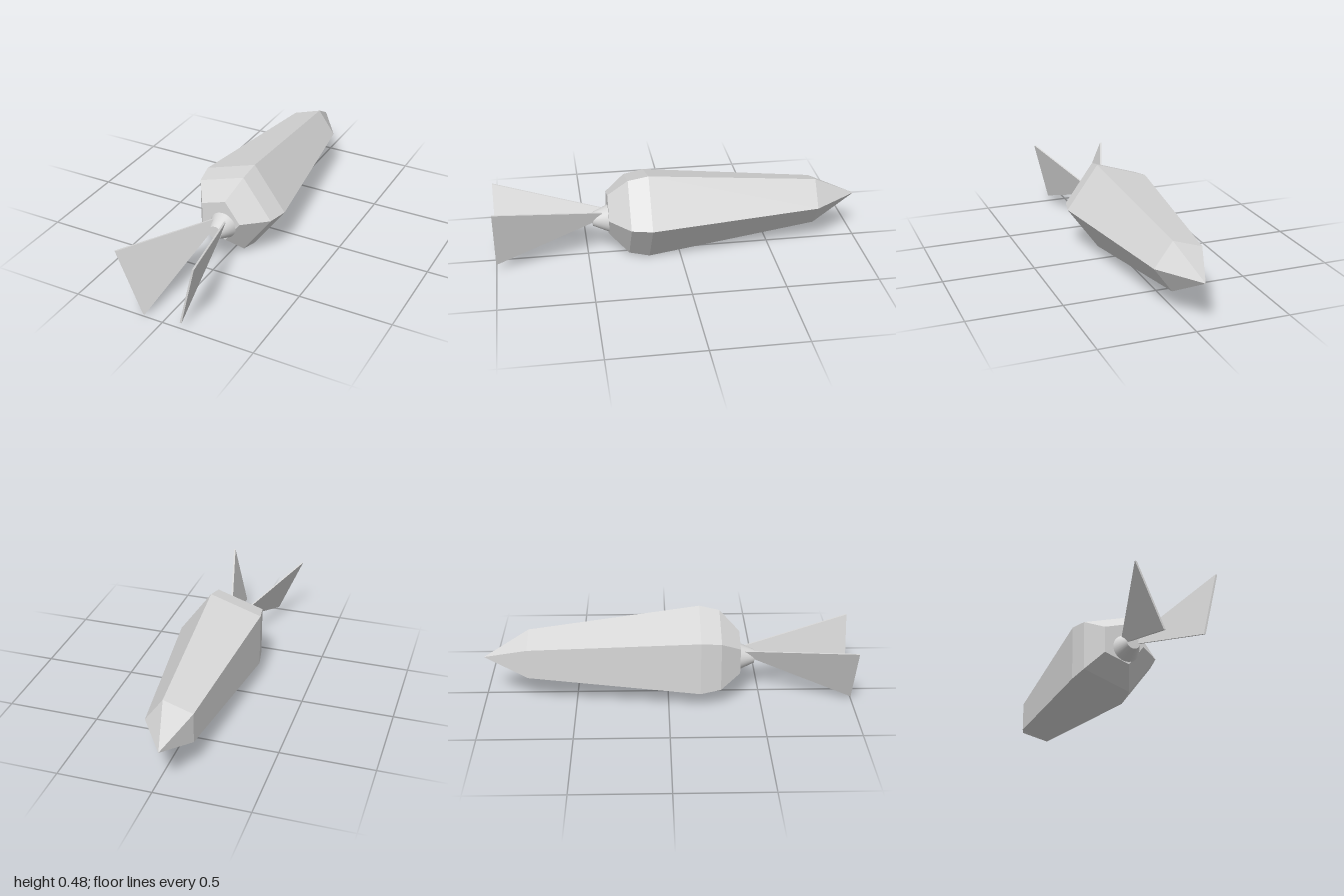
import * as THREE from 'three';

// Skins a row of equal-sized cross-sections (ordered back to front, counter-clockwise from +z) and caps both ends.
function loft(sections) {
  const pos = [];
  const tri = (a, b, c) => {
    const area = new THREE.Vector3().crossVectors(b.clone().sub(a), c.clone().sub(a)).length();
    if (area > 1e-7) for (const p of [a, b, c]) pos.push(p.x, p.y, p.z);
  };
  const n = sections[0].length;
  const centre = (s) => s.reduce((m, p) => m.addScaledVector(p, 1 / n), new THREE.Vector3());
  const first = sections[0], last = sections[sections.length - 1];
  const c0 = centre(first), c1 = centre(last);
  for (let j = 0; j < n; j++) {
    const k = (j + 1) % n;
    for (let i = 0; i < sections.length - 1; i++) {
      const s = sections[i], t = sections[i + 1];
      tri(s[j], s[k], t[k]);
      tri(s[j], t[k], t[j]);
    }
    tri(c0, first[k], first[j]);
    tri(c1, last[j], last[k]);
  }
  const geo = new THREE.BufferGeometry();
  geo.setAttribute('position', new THREE.Float32BufferAttribute(pos, 3));
  geo.computeVertexNormals();
  return geo;
}

const section = (z, points) => points.map(([x, y]) => new THREE.Vector3(x, y, z));

// Flat fin plate: the root edge runs parallel to the outer edge so that both faces stay planar.
function finGeometry(rootX, rootLow, rootHigh, [lowX, lowY], [highX, highY]) {
  const slope = (highX - lowX) / (highY - lowY);
  const rootTopX = rootX + slope * (rootHigh - rootLow);
  const plate = (z, x0, y0, x1, y1) => {
    const h = 0.005;
    return section(z, [[x0 - h, y0], [x0 + h, y0], [x1 + h, y1], [x1 - h, y1]]);
  };
  return loft([plate(0.42, rootX, rootLow, rootTopX, rootHigh), plate(1, lowX, lowY, highX, highY)]);
}

export function createModel() {
  const group = new THREE.Group();
  const grey = new THREE.MeshStandardMaterial({ color: 0xd8d8d8 });
  grey.name = 'plainGrey';
  const add = (name, geo) => {
    const mesh = new THREE.Mesh(geo, grey);
    mesh.name = name;
    group.add(mesh);
    return mesh;
  };

  // Five-sided tapered body: z, centre x, radius
  const stations = [
    [-1, -0.04, 0], [-0.757, -0.02, 0.14], [0.17, -0.004, 0.2545],
    [0.28, -0.005, 0.23], [0.387, -0.023, 0.122],
  ];
  add('body', loft(stations.map(([z, cx, r]) => section(z, Array.from({ length: 5 }, (_, j) => {
    const a = (j / 5) * Math.PI * 2;
    return [cx + r * Math.cos(a), 0.2445 + r * Math.sin(a)];
  })))));

  // Smooth conical hub
  const hub = add('hub', new THREE.CylinderGeometry(0.037, 0.075, 0.085, 32));
  hub.rotation.x = Math.PI / 2;
  hub.position.set(0, 0.215, 0.4275);

  // Two thin flaring fins, narrow at the hub
  add('leftFin', finGeometry(0.023, 0.228, 0.265, [0.105, 0.036], [0.186, 0.375]));
  add('rightFin', finGeometry(-0.023, 0.23, 0.262, [-0.105, 0.015], [-0.247, 0.345]));

  return group;
}
